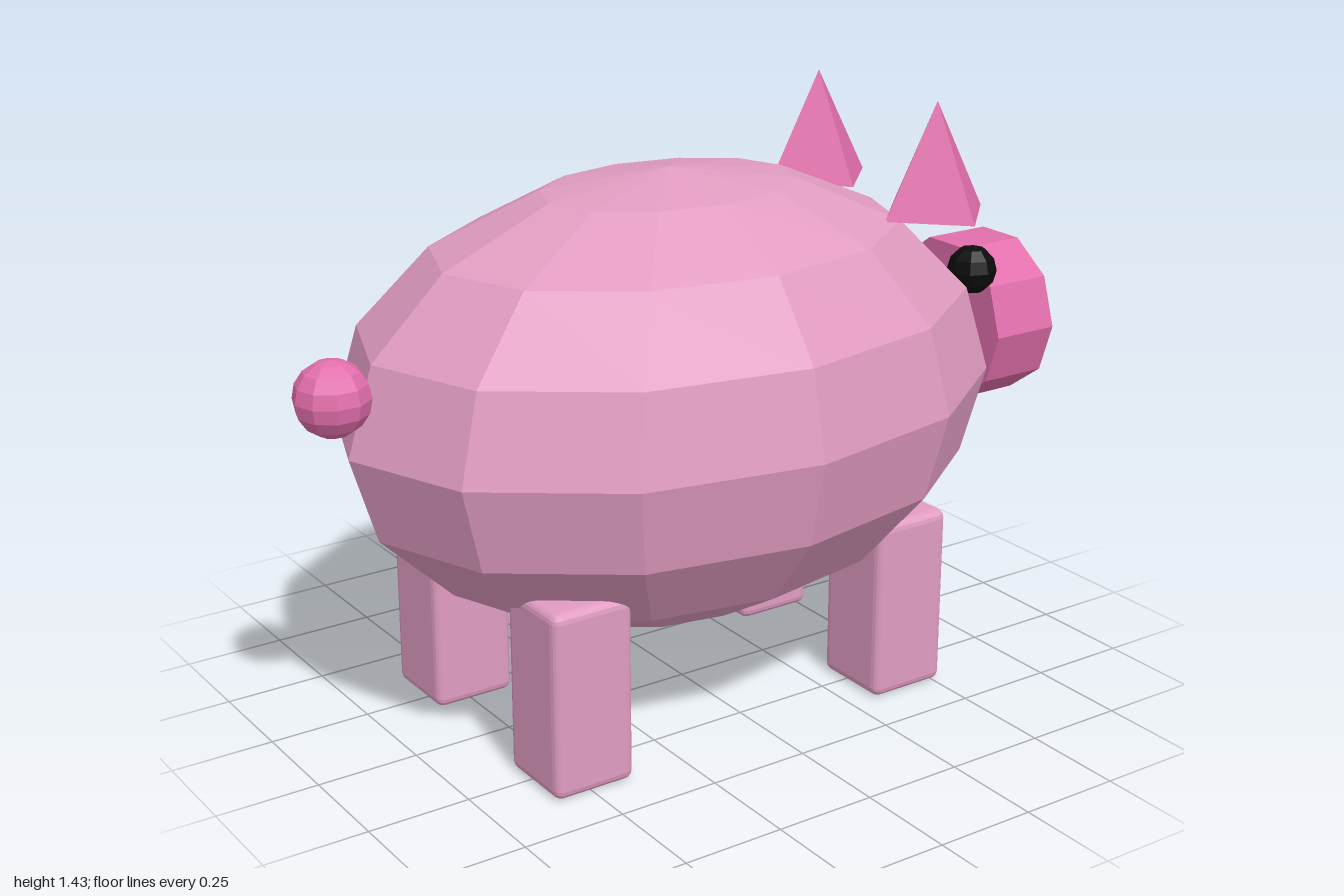
import * as THREE from 'three';
import { RoundedBoxGeometry } from 'three/addons/geometries/RoundedBoxGeometry.js';

const flat = (name, color) => {
  const material = new THREE.MeshStandardMaterial({ color, flatShading: true });
  material.name = name;
  return material;
};

export function createModel() {
  const pig = new THREE.Group();
  pig.name = 'pig';

  const skin = flat('skinPink', 0xe19cc1);
  const accent = flat('deepPink', 0xe26fac);
  const black = flat('eyeBlack', 0x0c0c0c);

  const add = (name, geometry, material, x, y, z) => {
    const mesh = new THREE.Mesh(geometry, material);
    mesh.name = name;
    mesh.position.set(x, y, z);
    pig.add(mesh);
    return mesh;
  };

  // Faceted egg-shaped body, long along x
  const bodyGeometry = new THREE.SphereGeometry(1, 12, 8).scale(0.847, 0.545, 0.607);
  add('body', bodyGeometry, skin, -0.036, 0.764, 0);

  // Ten-sided snout with flat top, facing +x
  const snoutGeometry = new THREE.CylinderGeometry(0.212, 0.212, 0.183, 10).rotateZ(-Math.PI / 2);
  add('snout', snoutGeometry, accent, 0.9085, 0.792, 0);

  // Ball tail
  add('tail', new THREE.SphereGeometry(0.088, 10, 8), accent, -0.914, 0.915, 0);

  // Paired eyes, ears and legs
  const eyeGeometry = new THREE.SphereGeometry(0.061, 8, 6);
  const earGeometry = new THREE.ConeGeometry(0.149, 0.272, 4);
  const legGeometry = new RoundedBoxGeometry(0.207, 0.455, 0.21, 2, 0.022);
  for (const side of [1, -1]) {
    add('eye', eyeGeometry, black, 0.717, 0.99, side * 0.212);
    add('ear', earGeometry, accent, 0.572, 1.293, side * 0.229);
    add('frontLeg', legGeometry, skin, 0.418, 0.2275, side * 0.276);
    add('hindLeg', legGeometry, skin, -0.492, 0.2275, side * 0.276);
  }

  return pig;
}
